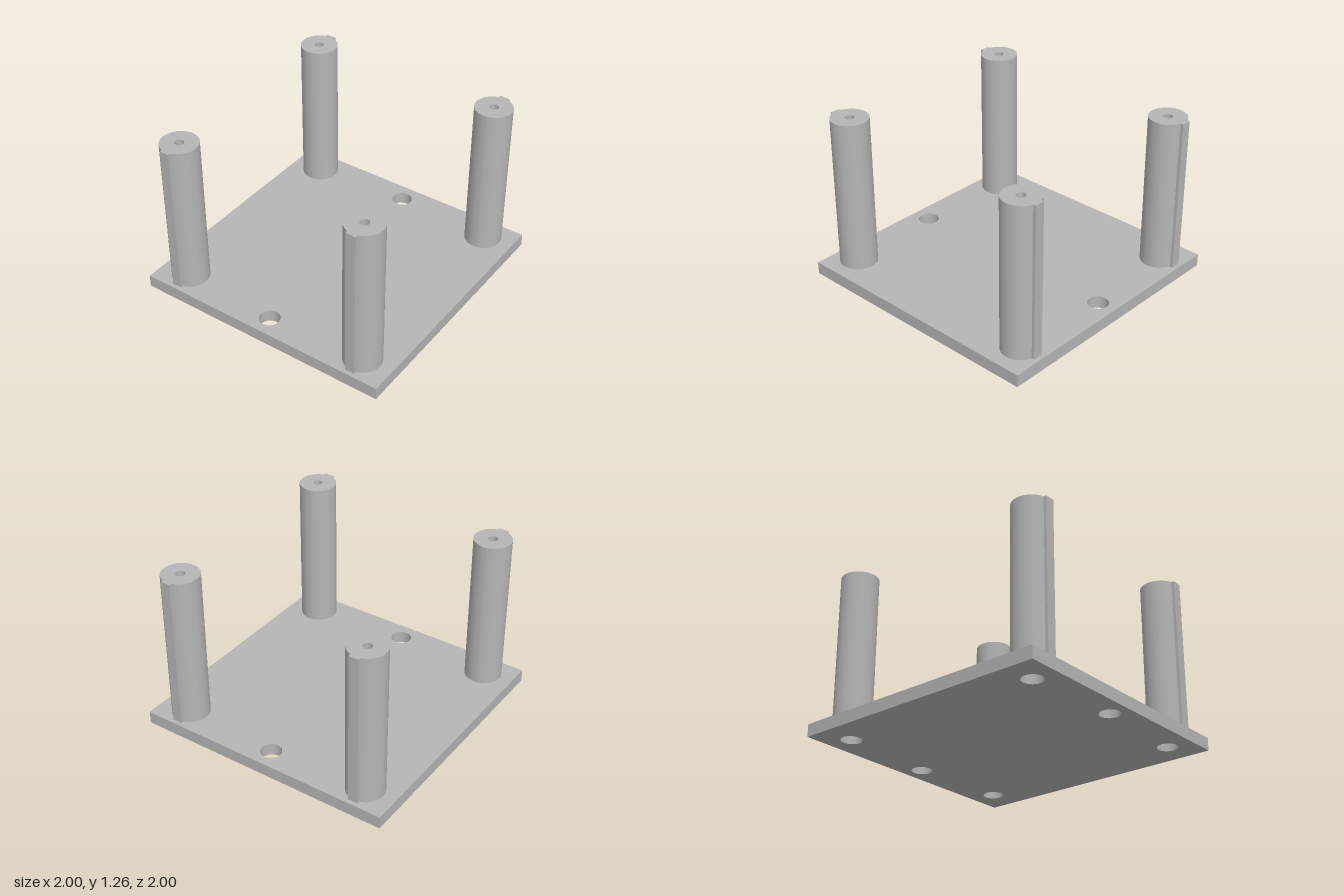
import * as THREE from 'three';
import { toCreasedNormals } from 'three/addons/utils/BufferGeometryUtils.js';

const PLATE_TOP = 0.095, POST_TOP = 1.265;
const POST_X = 0.763, POST_Z = 0.81, POST_R = 0.14;

function addHole(shape, x, y, radius) {
  shape.holes.push(new THREE.Path().absarc(x, y, radius, 0, Math.PI * 2, true));
}

// Extrudes a plan outline upwards, keeping curved walls smooth and edges sharp
function extrudeUp(shape, height) {
  const geometry = new THREE.ExtrudeGeometry(shape, { depth: height, bevelEnabled: false, curveSegments: 48 });
  geometry.rotateX(-Math.PI / 2);
  return toCreasedNormals(geometry, 0.5);
}

export function createModel() {
  const model = new THREE.Group();
  const grey = new THREE.MeshStandardMaterial({ color: 0xb5b5b5 });
  grey.name = 'grey';

  // Square base plate with two mounting holes and four screw holes under the posts
  const plate = new THREE.Shape([
    new THREE.Vector2(-1, -1), new THREE.Vector2(1, -1),
    new THREE.Vector2(1, 1), new THREE.Vector2(-1, 1),
  ]);
  for (const side of [-1, 1]) {
    addHole(plate, 0, side * 0.855, 0.077);
    for (const x of [-POST_X, POST_X]) addHole(plate, x, side * POST_Z, 0.077);
  }
  const basePlate = new THREE.Mesh(extrudeUp(plate, PLATE_TOP), grey);
  basePlate.name = 'basePlate';
  model.add(basePlate);

  // Round post with a narrow key rib (facing +z) and a bore along its axis
  const ribHalf = 0.0375, ribReach = 0.157;
  const ribAngle = Math.asin(ribHalf / POST_R);
  const outline = new THREE.Shape();
  outline.moveTo(-ribHalf, -ribReach);
  outline.lineTo(ribHalf, -ribReach);
  outline.absarc(0, 0, POST_R, -Math.PI / 2 + ribAngle, Math.PI * 1.5 - ribAngle, false);
  outline.closePath();
  addHole(outline, 0, 0, 0.034);
  const postGeometry = extrudeUp(outline, POST_TOP - PLATE_TOP);

  // Four posts, ribs facing the front and back edges
  for (const z of [1, -1]) {
    for (const x of [1, -1]) {
      const post = new THREE.Mesh(postGeometry, grey);
      post.name = (z > 0 ? 'front' : 'back') + (x > 0 ? 'Left' : 'Right') + 'Post';
      post.position.set(x * POST_X, PLATE_TOP, z * POST_Z);
      post.rotation.y = z > 0 ? 0 : Math.PI;
      model.add(post);
    }
  }
  return model;
}
